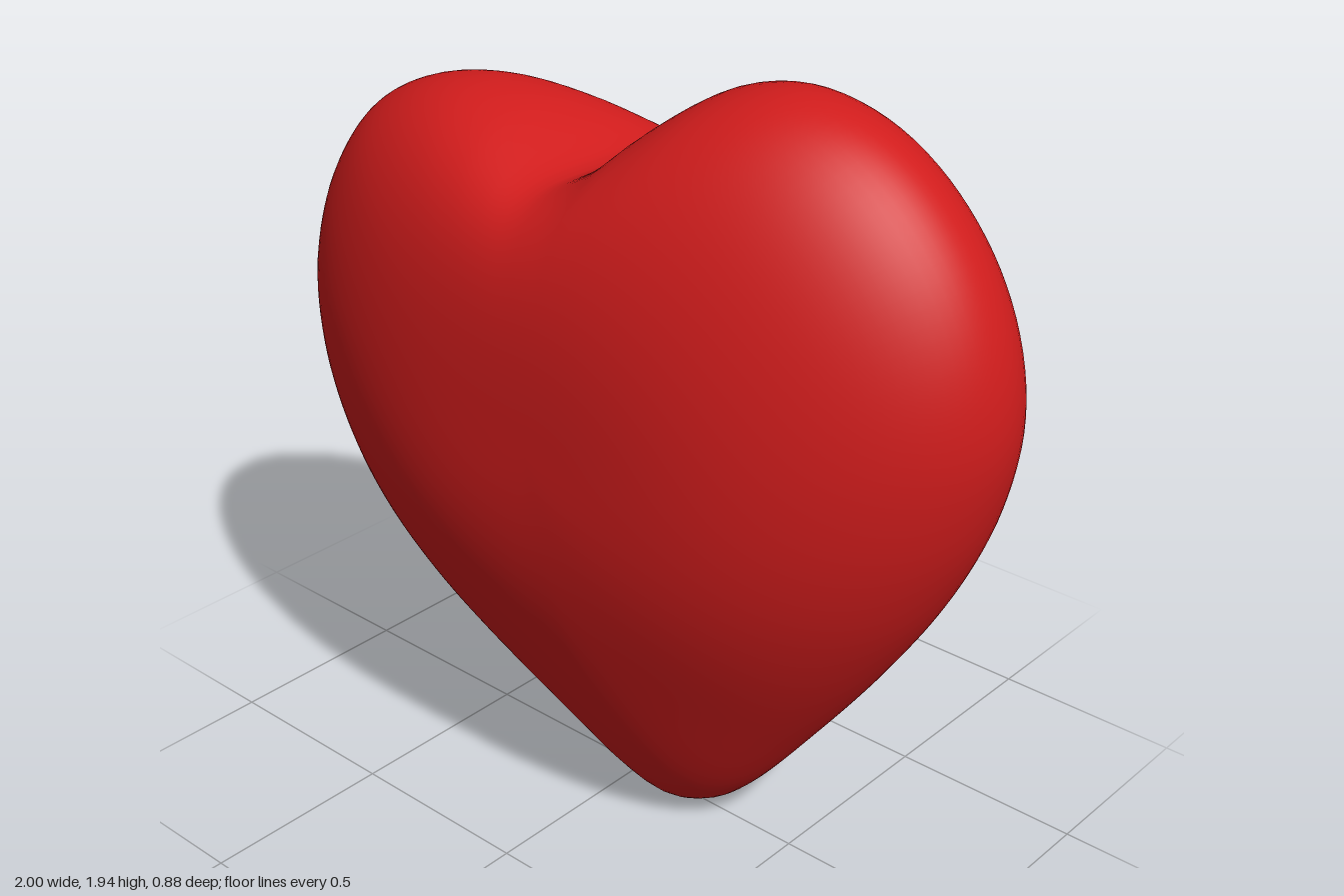
import * as THREE from 'three';

// Heart outline, counter-clockwise from the tip
const OUTLINE = [
  [0.17, 0], [0.27, 0.035], [0.36, 0.11], [0.55, 0.345], [0.74, 0.61], [0.87, 0.83], [0.96, 1.05],
  [1, 1.27], [0.975, 1.47], [0.89, 1.66], [0.75, 1.82], [0.6, 1.91], [0.43, 1.945], [0.27, 1.915],
  [0.12, 1.82], [0.03, 1.73], [-0.03, 1.685], [-0.08, 1.665], [-0.14, 1.685], [-0.22, 1.725],
  [-0.34, 1.77], [-0.5, 1.79], [-0.66, 1.76], [-0.8, 1.68], [-0.92, 1.52], [-0.985, 1.34],
  [-1, 1.2], [-0.97, 1], [-0.88, 0.79], [-0.75, 0.61], [-0.55, 0.425], [-0.3, 0.245],
  [-0.05, 0.09], [0.06, 0.03],
];
const CENTER = new THREE.Vector2(0.03, 1.1);
const DEPTH = 0.43;      // half thickness
const CORE_RADIUS = 0.8; // the cleft fades into a round core
const YAW = 0.048;       // slight turn to one side
const COLUMNS = 160;
const RINGS = 72;

function heartGeometry() {
  const curve = new THREE.CatmullRomCurve3(
    OUTLINE.map(([x, y]) => new THREE.Vector3(x, y, 0)), true, 'centripetal');
  const rim = curve.getSpacedPoints(COLUMNS).slice(0, COLUMNS);
  const positions = [CENTER.x, CENTER.y, DEPTH - YAW * CENTER.x];
  const index = [];

  // Rings from the front pole, out over the rim, to the back pole
  for (let j = 1; j < RINGS; j++) {
    const t = (j / RINGS) * Math.PI;
    const s = Math.sin(t);
    const side = j * 2 === RINGS ? 0 : Math.sign(Math.cos(t));
    for (const p of rim) {
      const dx = p.x - CENTER.x, dy = p.y - CENTER.y;
      const R = Math.hypot(dx, dy);
      const r = s * THREE.MathUtils.lerp(CORE_RADIUS, R, s ** 3);
      // Fullest section at the sides, leanest at the tip
      const v = dy / R;
      const power = 3.7 - (v > 0 ? 0.6 : 1.35) * v * v;
      const x = CENTER.x + (dx / R) * r;
      const z = side * DEPTH * Math.sqrt(Math.max(0, 1 - s ** power));
      positions.push(x, CENTER.y + v * r, z - YAW * x);
    }
  }
  positions.push(CENTER.x, CENTER.y, -DEPTH - YAW * CENTER.x);

  const at = (j, i) => 1 + (j - 1) * COLUMNS + (i % COLUMNS);
  const last = positions.length / 3 - 1;
  for (let i = 0; i < COLUMNS; i++) {
    index.push(0, at(1, i), at(1, i + 1));
    for (let j = 1; j < RINGS - 1; j++) {
      const a = at(j, i), b = at(j + 1, i), c = at(j + 1, i + 1), d = at(j, i + 1);
      index.push(a, b, c, a, c, d);
    }
    index.push(at(RINGS - 1, i), last, at(RINGS - 1, i + 1));
  }

  const geometry = new THREE.BufferGeometry();
  geometry.setAttribute('position', new THREE.Float32BufferAttribute(positions, 3));
  geometry.setIndex(index);
  geometry.computeVertexNormals();
  return geometry;
}

export function createModel() {
  const red = new THREE.MeshStandardMaterial({ color: 0xd01c1c });
  red.name = 'red';
  const heart = new THREE.Mesh(heartGeometry(), red);
  heart.name = 'heart';
  const model = new THREE.Group();
  model.name = 'heartModel';
  model.add(heart);
  return model;
}
